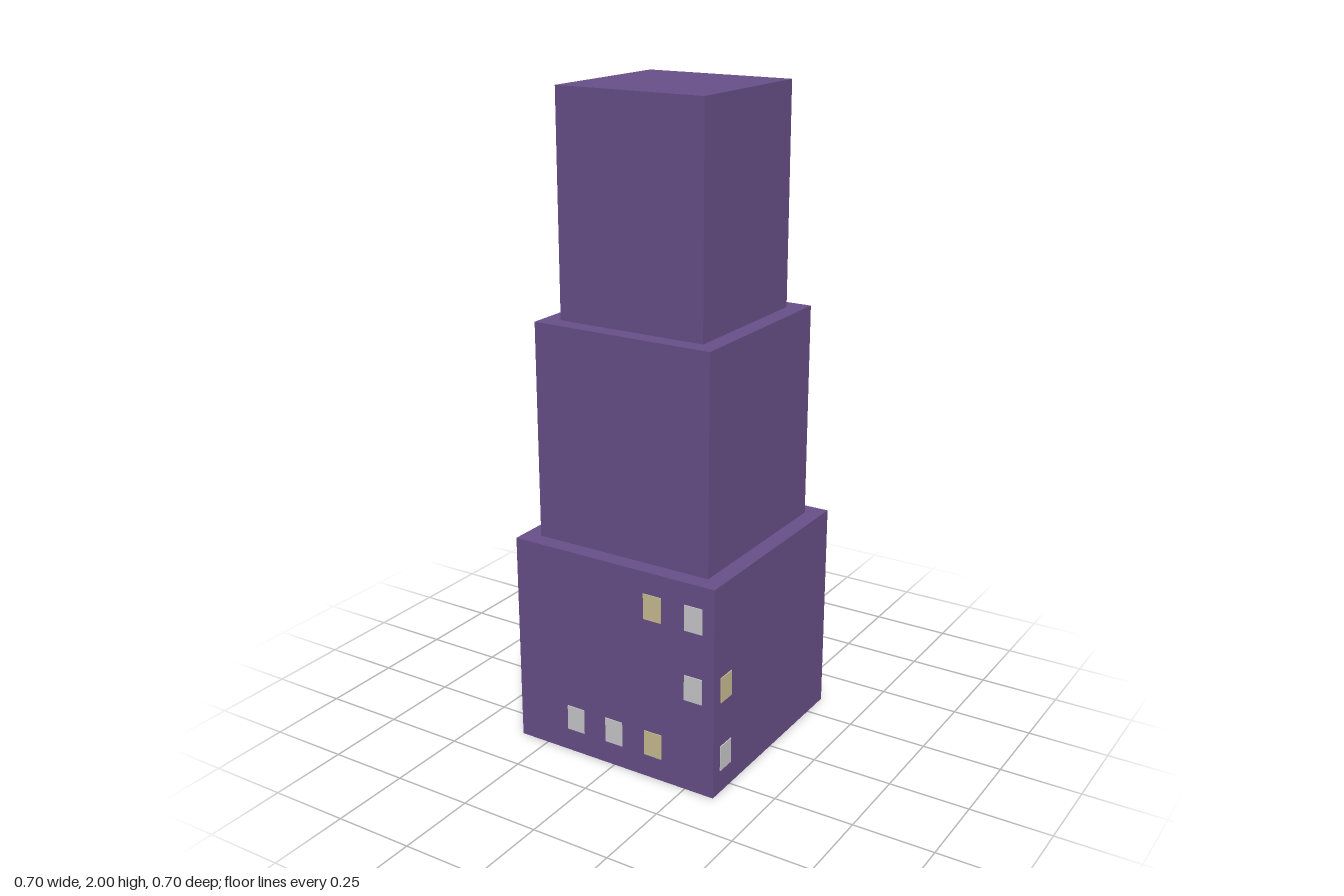
import * as THREE from 'three';

export function createModel() {
  const group = new THREE.Group();
  const wall = new THREE.MeshStandardMaterial({ name: 'purple wall', color: 0x68508a });
  const pale = new THREE.MeshStandardMaterial({ name: 'pale glass', color: 0xcacace });
  const lit = new THREE.MeshStandardMaterial({ name: 'lit glass', color: 0xcabd92 });

  // Three stacked tiers, each narrower than the one below
  const tierHeight = 2 / 3;
  const widths = [0.693, 0.587, 0.48];
  ['lowerTier', 'middleTier', 'upperTier'].forEach((name, i) => {
    const tier = new THREE.Mesh(new THREE.BoxGeometry(widths[i], tierHeight, widths[i]), wall);
    tier.name = name;
    tier.position.y = (i + 0.5) * tierHeight;
    group.add(tier);
  });

  // Thin window plates sit on a grid of columns and rows on the lowest tier
  const column = 0.139;
  const rows = [0.113, 0.336, 0.558];
  const half = widths[0] / 2;
  const plate = new THREE.BoxGeometry(0.06, 0.08, 0.006);
  const addWindow = (name, x, y, z, turn, material) => {
    const pane = new THREE.Mesh(plate, material);
    pane.name = name;
    pane.position.set(x, y, z);
    pane.rotation.y = turn;
    group.add(pane);
  };

  const frontWindows = [
    [-1, 0, pale], [0, 0, pale], [1, 0, lit],
    [2, 1, pale], [1, 2, lit], [2, 2, pale],
  ];
  const sideWindows = [[2, 0, pale], [2, 1, lit]];

  // Front and back share columns, as do the two sides
  for (const s of [1, -1]) {
    for (const [c, r, m] of frontWindows)
      addWindow(s > 0 ? 'frontWindow' : 'backWindow', c * column, rows[r], s * half, 0, m);
    for (const [c, r, m] of sideWindows)
      addWindow(s > 0 ? 'leftWindow' : 'rightWindow', s * half, rows[r], c * column, Math.PI / 2, m);
  }
  return group;
}
